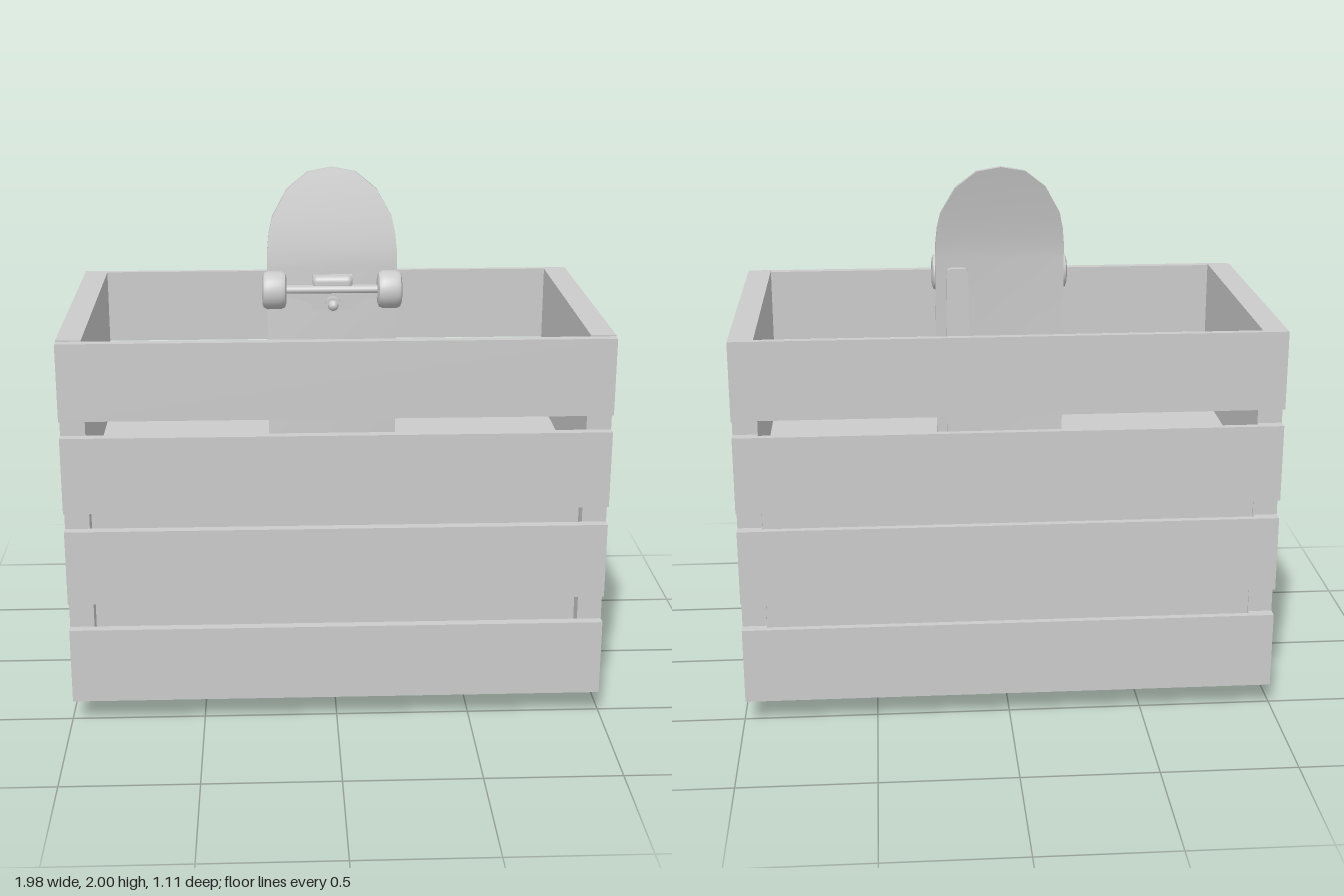
import * as THREE from 'three';
import { toCreasedNormals } from 'three/addons/utils/BufferGeometryUtils.js';
import { RoundedBoxGeometry } from 'three/addons/geometries/RoundedBoxGeometry.js';

const grey = new THREE.MeshStandardMaterial({ color: 0xcccccc });
const grey2 = new THREE.MeshStandardMaterial({ color: 0xcccccc, side: THREE.DoubleSide });

function add(parent, name, geometry, x = 0, y = 0, z = 0, material = grey) {
  const mesh = new THREE.Mesh(geometry, material);
  mesh.name = name;
  mesh.position.set(x, y, z);
  parent.add(mesh);
  return mesh;
}

// Box given by its limits on each axis
function slab(parent, name, [x0, x1], [y0, y1], [z0, z1]) {
  return add(parent, name, new THREE.BoxGeometry(x1 - x0, y1 - y0, z1 - z0),
    (x0 + x1) / 2, (y0 + y1) / 2, (z0 + z1) / 2);
}

const slats = [[0.1, 0.39], [0.495, 0.78], [0.85, 1.137], [1.2, 1.485]];

function makeCrate() {
  const crate = new THREE.Group();
  crate.name = 'crate';

  // End walls, notched at the back between the slats
  const profile = new THREE.Shape();
  profile.moveTo(0.52, 0.1);
  profile.lineTo(0.52, 1.49);
  for (const [bottom, top] of [...slats].reverse()) {
    profile.lineTo(-0.515, top === 1.485 ? 1.49 : top);
    profile.lineTo(-0.555, top === 1.485 ? 1.49 : top);
    profile.lineTo(-0.555, bottom);
    if (bottom > 0.1) profile.lineTo(-0.515, bottom);
  }
  for (const side of [-1, 1]) {
    const wall = new THREE.ExtrudeGeometry(profile, { depth: 0.09, bevelEnabled: false });
    wall.rotateY(-Math.PI / 2); // profile x becomes z, depth runs to -x
    add(crate, 'endWall', wall, side > 0 ? 0.99 : -0.9, 0, 0);
  }

  // Front slats cover the walls, back slats sit between them
  for (const range of slats) {
    slab(crate, 'frontSlat', [-0.99, 0.99], range, [0.52, 0.555]);
    slab(crate, 'backSlat', [-0.9, 0.9], [range[0], range[1] === 1.485 ? 1.49 : range[1]], [-0.555, -0.53]);
  }
  slab(crate, 'floor', [-0.9, 0.9], [0.1, 0.14], [-0.53, 0.52]);
  slab(crate, 'filling', [-0.9, 0.9], [0.14, 0.93], [-0.51, 0.45]);
  return crate;
}

// Deck outline from the nose tip: distance from the tip, half width
const nose = [[0, 0.002], [0.016, 0.09], [0.08, 0.17], [0.18, 0.225], [0.24, 0.238], [0.3, 0.244], [0.36, 0.245]];

function makeDeck() {
  const rows = [...nose, ...[...nose].reverse().map(([d, w]) => [2 - d, w])];
  const n = rows.length - 1;
  const geometry = new THREE.BoxGeometry(2, 1, 0.024, 1, n, 1);
  const p = geometry.attributes.position;
  for (let i = 0; i < p.count; i++) {
    const [y, width] = rows[Math.round((p.getY(i) + 0.5) * n)];
    const kick = Math.max(0, (Math.abs(y - 1) - 0.64) / 0.36);
    p.setXYZ(i, p.getX(i) * width, y, p.getZ(i) + 0.033 - 0.068 * kick ** 1.3);
  }
  return toCreasedNormals(geometry, 0.4);
}

function makeTruck() {
  const truck = new THREE.Group();
  truck.name = 'truck';
  slab(truck, 'basePlate', [-0.075, 0.075], [-0.09, 0.04], [0.043, 0.085]);

  // Tapered hanger across the board
  const s = new THREE.Shape();
  s.moveTo(-0.18, 0.01);
  s.lineTo(0.18, 0.01);
  s.lineTo(0.18, -0.03);
  s.quadraticCurveTo(0.09, -0.035, 0.06, -0.08);
  s.lineTo(-0.06, -0.08);
  s.quadraticCurveTo(-0.09, -0.035, -0.18, -0.03);
  add(truck, 'hanger', new THREE.ExtrudeGeometry(s, { depth: 0.035, bevelEnabled: false }), 0, 0, 0.09);
  add(truck, 'hangerTop', new RoundedBoxGeometry(0.15, 0.05, 0.06, 3, 0.02), 0, 0.02, 0.085);

  // Axle and kingpin
  add(truck, 'axle', new THREE.CylinderGeometry(0.014, 0.014, 0.5, 12).rotateZ(Math.PI / 2), 0, 0, 0.125);
  add(truck, 'kingpin', new THREE.CylinderGeometry(0.03, 0.03, 0.06, 16).rotateX(Math.PI / 2), 0, -0.055, 0.115);
  add(truck, 'kingpinNut', new THREE.SphereGeometry(0.02, 12, 8), 0, -0.055, 0.15);

  // Wheels with rounded rims
  const rim = [[0, -0.045], [0.05, -0.045], [0.064, -0.04], [0.071, -0.025],
    [0.071, 0.025], [0.064, 0.04], [0.05, 0.045], [0, 0.045]].map(([r, h]) => new THREE.Vector2(r, h));
  for (const side of [-1, 1]) {
    add(truck, 'wheel', toCreasedNormals(new THREE.LatheGeometry(rim, 28).rotateZ(Math.PI / 2), 0.7),
      side * 0.215 - 0.004, 0, 0.125);
  }
  return truck;
}

export function createModel() {
  const model = new THREE.Group();
  model.name = 'crateWithSkateboard';
  model.add(makeCrate());

  // Skateboard standing on its tail
  const board = new THREE.Group();
  board.name = 'skateboard';
  add(board, 'deck', makeDeck());
  for (const end of [1, -1]) {
    const truck = makeTruck();
    truck.position.y = 1 + end * 0.568;
    if (end < 0) truck.children.forEach((part) => { part.rotation.z = Math.PI; part.position.y *= -1; });
    board.add(truck);
  }
  model.add(board);

  // Flat bar with a rounded top, standing behind the deck
  const bar = new THREE.Shape();
  bar.moveTo(0.12, 0.6);
  bar.lineTo(0.205, 0.6);
  bar.lineTo(0.205, 1.585);
  bar.quadraticCurveTo(0.205, 1.61, 0.18, 1.61);
  bar.lineTo(0.145, 1.61);
  bar.quadraticCurveTo(0.12, 1.61, 0.12, 1.585);
  add(model, 'flatBar', new THREE.ExtrudeGeometry(bar, { depth: 0.022, bevelEnabled: false }), 0, 0, -0.011);

  // Round dished base showing under the floor
  const base = [[0, 0.06], [0.06, 0.055], [0.09, 0.035], [0.1, 0.03], [0.115, 0.035],
    [0.126, 0.055], [0.13, 0.08], [0.13, 0.2], [0, 0.2]].map(([r, h]) => new THREE.Vector2(r, h));
  add(model, 'roundBase', new THREE.LatheGeometry(base, 32), 0, 0, 0, grey2);
  return model;
}
